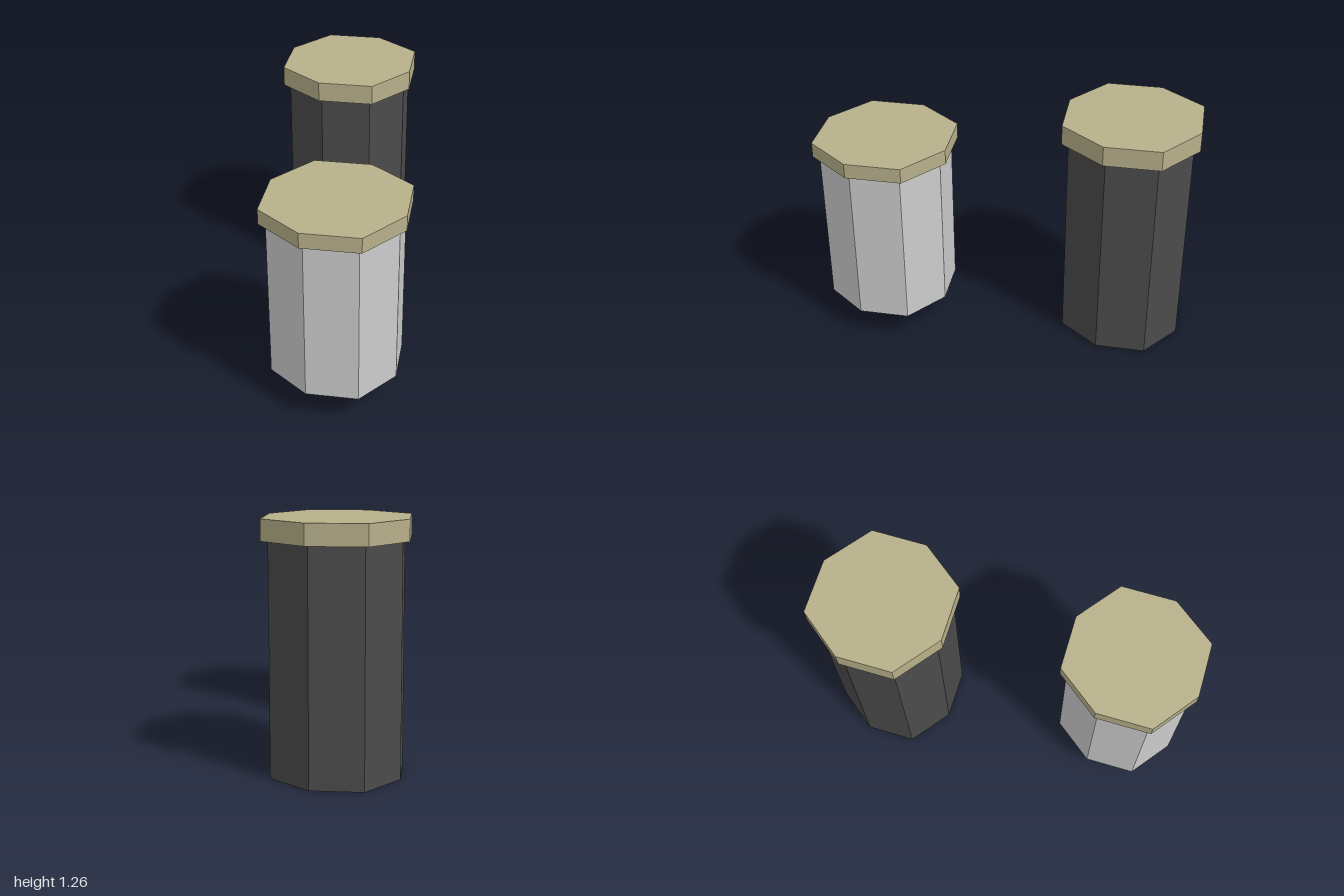
import * as THREE from 'three';

const material = (name, color) => {
  const m = new THREE.MeshStandardMaterial({ color });
  m.name = name;
  return m;
};

// Upright eight-sided prism with slightly uneven, four-fold symmetric corners
function octagonPrism(name, scale, bottom, top, mat) {
  const corners = [];
  for (let i = 0; i < 4; i++) {
    const turn = (i * Math.PI) / 2;
    for (const [x, z] of [[0.3585, -0.1425], [0.336, 0.146]]) {
      const r = Math.hypot(x, z) * scale;
      const a = Math.atan2(z, x) + turn;
      corners.push(new THREE.Vector2(r * Math.cos(a), -r * Math.sin(a)));
    }
  }
  const geometry = new THREE.ExtrudeGeometry(new THREE.Shape(corners), {
    depth: top - bottom, bevelEnabled: false,
  });
  geometry.rotateX(-Math.PI / 2);
  geometry.translate(0, bottom, 0);
  const mesh = new THREE.Mesh(geometry, mat);
  mesh.name = name;
  return mesh;
}

export function createModel() {
  const model = new THREE.Group();
  model.name = 'canisterPair';
  const lidMat = material('khaki lid', 0xb7b08a);
  const lightMat = material('light grey body', 0xcccccc);
  const darkMat = material('charcoal body', 0x4b4b4b);

  const canisters = [
    { name: 'shortCanister', x: 0.0155, z: 0.6415, bottom: 0.16, rim: 1.025, top: 1.105, mat: lightMat },
    { name: 'tallCanister', x: -0.0165, z: -0.6415, bottom: 0, rim: 1.155, top: 1.26, mat: darkMat },
  ];
  for (const c of canisters) {
    const group = new THREE.Group();
    group.name = c.name;
    group.position.set(c.x, 0, c.z);
    // Body ends just inside the wider lid
    group.add(octagonPrism('body', 0.908, c.bottom, c.rim + 0.01, c.mat));
    group.add(octagonPrism('lid', 1, c.rim, c.top, lidMat));
    model.add(group);
  }
  return model;
}
